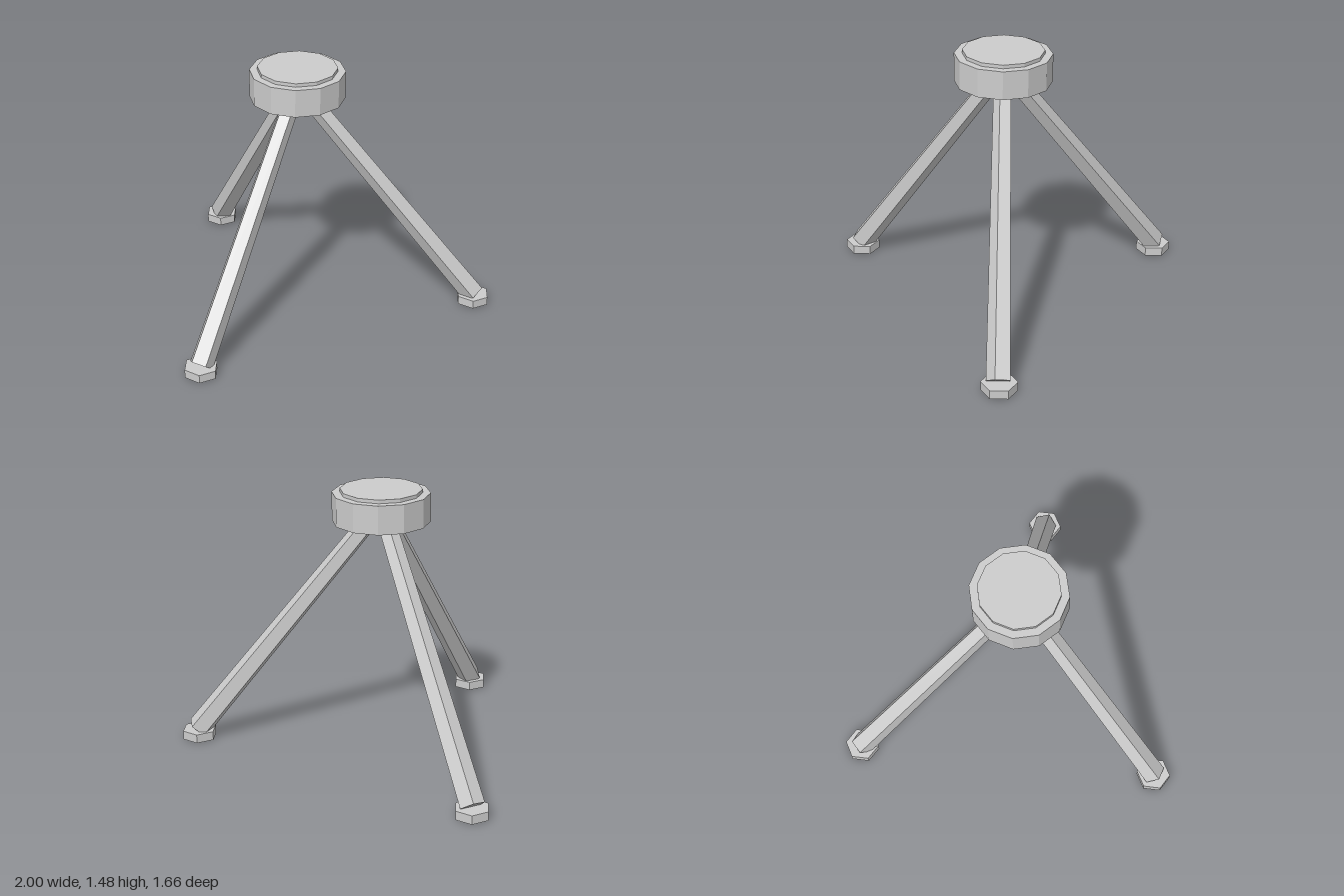
import * as THREE from 'three';

export function createModel() {
  const model = new THREE.Group();
  model.name = 'tripodStand';
  const grey = new THREE.MeshStandardMaterial({ color: 0xcccccc, flatShading: true });
  grey.name = 'light grey';

  // Faceted prism or taper standing between two heights
  const prism = (name, rTop, rBottom, y0, y1, sides, start, x, z) => {
    const geometry = new THREE.CylinderGeometry(rTop, rBottom, y1 - y0, sides, 1, false, start);
    const mesh = new THREE.Mesh(geometry, grey);
    mesh.name = name;
    mesh.position.set(x, (y0 + y1) / 2, z);
    model.add(mesh);
    return mesh;
  };

  // Twelve-sided head with a thin raised plate
  const hub = new THREE.Vector3(0, 1.38, -0.225);
  prism('head', 0.268, 0.268, 1.3, 1.46, 12, 0, hub.x, hub.z);
  prism('topPlate', 0.224, 0.224, 1.45, 1.48, 12, 0, hub.x, hub.z);

  // Tapered five-sided legs meeting inside the head, each on a hexagonal foot
  const feet = [
    ['front', 0, 0.745],
    ['backLeft', 0.902, -0.75],
    ['backRight', -0.902, -0.75],
  ];
  for (const [side, x, z] of feet) {
    prism(side + 'Foot', 0.098, 0.098, 0, 0.05, 6, Math.PI / 2, x, z);

    const bottom = new THREE.Vector3(x, 0.055, z);
    const span = new THREE.Vector3().subVectors(bottom, hub);
    const reach = Math.hypot(span.x, span.z);
    const leg = prism(side + 'Leg', 0.051, 0.07, 0, span.length(), 5, -Math.PI / 2, 0, 0);
    leg.position.addVectors(hub, bottom).multiplyScalar(0.5);
    leg.rotation.set(-Math.atan2(reach, -span.y), Math.atan2(span.x, span.z), 0, 'YXZ');
  }
  return model;
}
